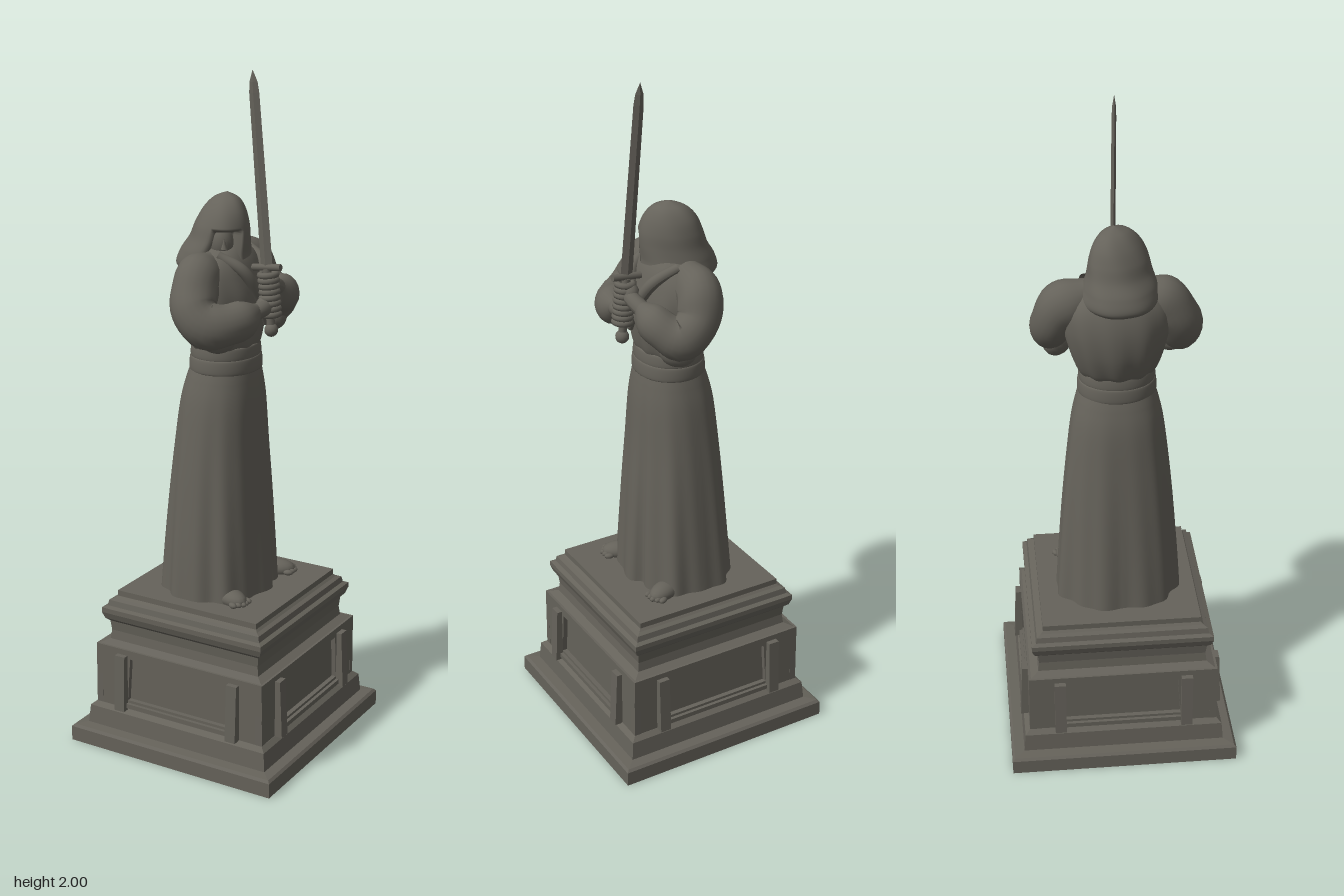
import * as THREE from 'three';
import { ParametricGeometry } from 'three/addons/geometries/ParametricGeometry.js';

const stone = new THREE.MeshStandardMaterial({ color: 0x65625a, side: THREE.DoubleSide });
stone.name = 'weathered stone';

function add(parent, name, geometry, x = 0, y = 0, z = 0) {
  const mesh = new THREE.Mesh(geometry, stone);
  mesh.name = name;
  mesh.position.set(x, y, z);
  parent.add(mesh);
  return mesh;
}

function faceted(geometry) {
  const g = geometry.index ? geometry.toNonIndexed() : geometry;
  g.computeVertexNormals();
  return g;
}

// smooth interpolation through a list of number rows, t in 0..1
function sample(rows, t) {
  const f = t * (rows.length - 1), i = Math.min(Math.floor(f), rows.length - 2), k = f - i;
  const at = (j) => rows[Math.max(0, Math.min(rows.length - 1, j))];
  return rows[0].map((_, c) => {
    const p = at(i - 1)[c], q = at(i)[c], r = at(i + 1)[c], s = at(i + 2)[c];
    return q + 0.5 * k * (r - p + k * (2 * p - 5 * q + 4 * r - s + k * (3 * (q - r) + s - p)));
  });
}

// rows: [y, half width, half depth, centre x, centre z]; ripple scales the radius
function loft(rows, ripple = () => 1, power = 0.9, slices = 64, stacks = 32) {
  return new ParametricGeometry((u, v, target) => {
    const [y, a, b, cx, cz] = sample(rows, v);
    const th = (u - 0.5) * Math.PI * 2, s = Math.sin(th), c = Math.cos(th);
    const k = ripple(th, y);
    target.set(
      cx + k * a * Math.sign(s) * Math.abs(s) ** power, y,
      cz + k * b * Math.sign(c) * Math.abs(c) ** power);
  }, slices, stacks);
}

// tube through points with a radius per point, stretched vertically
function limb(points, radii, stretch = 1, wrinkle = 0) {
  const curve = new THREE.CatmullRomCurve3(points.map((p) => new THREE.Vector3(...p)));
  const n = 36, m = 20, g = new THREE.TubeGeometry(curve, n, 1, m);
  const pos = g.attributes.position, off = new THREE.Vector3();
  for (let i = 0; i < pos.count; i++) {
    const u = Math.floor(i / (m + 1)) / n, centre = curve.getPointAt(u);
    const r = sample(radii.map((v) => [v]), u)[0];
    const around = (i % (m + 1)) / m * Math.PI * 2;
    off.fromBufferAttribute(pos, i).sub(centre)
      .multiplyScalar(r * (1 + wrinkle * Math.sin(u * 24 + 2 * Math.sin(around))));
    pos.setXYZ(i, centre.x + off.x, centre.y + off.y * stretch, centre.z + off.z);
  }
  g.computeVertexNormals();
  return g;
}

function pedestal() {
  const group = new THREE.Group();
  group.name = 'pedestal';
  // stepped moulding profile: [corner radius, height]
  const profile = [[0, 0], [0.485, 0], [0.485, 0.045], [0.475, 0.052], [0.432, 0.055], [0.425, 0.11],
    [0.405, 0.122], [0.383, 0.122], [0.383, 0.31], [0.40, 0.31], [0.36, 0.322], [0.355, 0.35],
    [0.36, 0.38], [0.375, 0.39], [0.385, 0.41], [0.385, 0.425], [0.367, 0.43], [0.362, 0.447],
    [0.345, 0.452], [0.335, 0.458], [0.335, 0.475], [0, 0.475]].map((p) => new THREE.Vector2(...p));
  add(group, 'steppedPlinth', faceted(new THREE.LatheGeometry(profile, 4)));

  const poly = (pts) => pts.map((p) => new THREE.Vector2(...p));
  const frame = new THREE.Shape(poly([[-0.286, 0.115], [0.286, 0.115], [0.284, 0.312], [-0.284, 0.312]]));
  frame.holes.push(new THREE.Path(poly([[-0.175, 0.15], [-0.165, 0.285], [0.165, 0.285], [0.175, 0.15]])));
  const frameGeo = new THREE.ExtrudeGeometry(frame, { depth: 0.02, bevelEnabled: false });
  const wedge = new THREE.Shape(poly([[0, 0.12], [0.034, 0.12], [0.026, 0.295], [0, 0.295]]));
  const wedgeGeo = new THREE.ExtrudeGeometry(wedge, { depth: 0.034, bevelEnabled: false });
  wedgeGeo.rotateY(-Math.PI / 2).translate(0.017, 0, 0);

  // recessed panel with sloping side blocks on each face
  for (let i = 0; i < 4; i++) {
    const side = new THREE.Group();
    side.name = 'pedestalSide';
    side.rotation.y = Math.PI / 4 + i * Math.PI / 2;
    add(side, 'panelFrame', frameGeo, 0, 0, 0.265);
    add(side, 'panelSill', new THREE.BoxGeometry(0.37, 0.014, 0.03), 0, 0.135, 0.28);
    for (const s of [-1, 1]) add(side, 'panelBlock', wedgeGeo, s * 0.192, 0, 0.275);
    group.add(side);
  }
  return group;
}

function swordAndHands() {
  const group = new THREE.Group();
  group.name = 'swordAndHands';
  group.position.set(-0.007, 1.45, 0.134);
  group.rotation.x = -0.089;
  // four-sided blade, thin across the body, with a tapered point
  const blade = new THREE.LatheGeometry([[0.019, 0], [0.016, 0.49], [0.013, 0.52], [0, 0.553]]
    .map((p) => new THREE.Vector2(...p)), 4);
  add(group, 'blade', faceted(blade.scale(0.4, 1, 1)));
  const guard = add(group, 'crossGuard', new THREE.CylinderGeometry(0.01, 0.01, 0.09, 10), 0, 0.005, 0);
  guard.rotation.x = Math.PI / 2;
  add(group, 'grip', new THREE.CylinderGeometry(0.012, 0.012, 0.17, 12), 0, -0.085, 0);
  add(group, 'pommel', new THREE.SphereGeometry(0.02, 14, 10), 0, -0.175, 0);
  // two stacked fists with curled fingers
  for (const [s, y] of [[1, -0.04], [-1, -0.105]]) {
    add(group, 'palm', new THREE.SphereGeometry(0.03, 16, 12).scale(1.1, 1.05, 0.9), s * 0.012, y, -0.006);
    for (let i = 0; i < 4; i++) {
      const finger = add(group, 'finger', new THREE.TorusGeometry(0.023, 0.0095, 8, 18), 0, y + (i - 1.5) * 0.016, 0.003);
      finger.rotation.x = Math.PI / 2;
    }
  }
  return group;
}

function head() {
  const group = new THREE.Group();
  group.name = 'hoodedHead';
  // hood with the front pressed inward to make the face opening
  const rows = [[1.425, 0.075, 0.075, -0.03, -0.02], [1.45, 0.108, 0.108, -0.032, -0.018],
    [1.49, 0.1, 0.108, -0.03, -0.012], [1.53, 0.086, 0.1, -0.02, -0.003], [1.57, 0.077, 0.092, -0.014, 0],
    [1.61, 0.06, 0.075, -0.008, 0], [1.64, 0.036, 0.046, -0.003, 0], [1.657, 0.001, 0.001, 0, 0]];
  const open = (th, y) => {
    const top = THREE.MathUtils.smoothstep(1.565 - y, 0, 0.018);
    const side = THREE.MathUtils.smoothstep(0.62 - Math.abs(th + 0.08), 0, 0.14);
    return (1 - 0.42 * top * side) * (1 + 0.012 * Math.sin(th * 6 + y * 30));
  };
  add(group, 'hood', loft(rows, open, 1, 72, 48));
  add(group, 'face', new THREE.SphereGeometry(0.045, 20, 16).scale(0.85, 1.25, 1), -0.025, 1.52, 0.028);
  add(group, 'nose', new THREE.ConeGeometry(0.01, 0.03, 8), -0.027, 1.522, 0.073);
  add(group, 'chin', new THREE.SphereGeometry(0.02, 12, 10), -0.027, 1.482, 0.05);
  return group;
}

function figure() {
  const group = new THREE.Group();
  group.name = 'robedFigure';
  group.rotation.y = Math.PI / 4;

  // long skirt: folds deepen toward the hem
  const skirt = [[0.475, 0.187, 0.16, -0.005, -0.018], [0.62, 0.178, 0.15, -0.006, -0.016],
    [0.78, 0.165, 0.138, -0.006, -0.014], [0.92, 0.151, 0.126, -0.006, -0.012],
    [1.05, 0.135, 0.115, -0.006, -0.008], [1.12, 0.12, 0.103, -0.006, -0.004], [1.17, 0.105, 0.09, -0.006, 0]];
  const folds = (th, y) => {
    const d = THREE.MathUtils.clamp((1.15 - y) / 0.67, 0, 1);
    return 1 + d * (0.03 * Math.sin(th * 7 + 0.8) + 0.02 * Math.sin(th * 13 + y * 2))
      - 0.12 * d * Math.exp(-(((th - 0.25) / 0.1) ** 2));
  };
  add(group, 'robeSkirt', loft(skirt, folds, 0.88, 112, 30));

  // sash in two wraps
  for (const [y, h, r] of [[1.145, 0.045, 0.114], [1.185, 0.04, 0.11]])
    add(group, 'sash', loft([[y, r - 0.014, r - 0.026, -0.006, 0], [y + 0.004, r, r - 0.014, -0.006, 0],
      [y + h - 0.004, r - 0.002, r - 0.016, -0.006, 0], [y + h, r - 0.014, r - 0.026, -0.006, 0]], undefined, 0.95));

  // bloused upper robe
  const torso = [[1.2, 0.095, 0.08, -0.005, 0], [1.235, 0.118, 0.1, -0.005, -0.004], [1.3, 0.14, 0.115, -0.005, -0.01],
    [1.37, 0.155, 0.118, -0.005, -0.012], [1.43, 0.15, 0.105, -0.005, -0.014], [1.475, 0.115, 0.085, -0.005, -0.01],
    [1.51, 0.06, 0.055, -0.005, -0.005], [1.53, 0.01, 0.01, -0.005, 0]];
  add(group, 'upperRobe', loft(torso, (th, y) => 1 + 0.025 * Math.sin(th * 11 + y * 9) * (1.5 - y) / 0.3, 0.95, 88, 28));

  // crossed lapels
  for (const s of [-1, 1])
    add(group, 'lapel', limb([[s * 0.085, 1.49, 0.02], [s * 0.06, 1.45, 0.085], [s * 0.01, 1.37, 0.108],
      [-s * 0.04, 1.28, 0.105]], [0.014, 0.017, 0.015, 0.01]));

  // wide sleeves, elbows bent, both cuffs at the sword grip
  add(group, 'rightSleeve', limb([[-0.07, 1.455, -0.015], [-0.145, 1.42, -0.012], [-0.185, 1.35, 0.005],
    [-0.19, 1.315, 0.045], [-0.135, 1.32, 0.11], [-0.06, 1.345, 0.135], [-0.05, 1.347, 0.136]],
    [0.045, 0.066, 0.066, 0.063, 0.055, 0.048, 0.012], 1.12, 0.03));
  add(group, 'leftSleeve', limb([[0.07, 1.455, -0.015], [0.145, 1.425, -0.01], [0.178, 1.36, 0.015],
    [0.172, 1.32, 0.065], [0.125, 1.35, 0.11], [0.055, 1.39, 0.13], [0.045, 1.393, 0.131]],
    [0.045, 0.064, 0.062, 0.058, 0.052, 0.045, 0.012], 1.15, 0.03));
  // drooping cloth below each forearm
  for (const s of [-1, 1]) {
    const drape = add(group, 'sleeveDrape', new THREE.SphereGeometry(0.05, 18, 14).scale(0.75, 1, 1.1), s * 0.158, 1.28, 0.065);
    drape.rotation.y = -s * 0.7;
  }
  add(group, 'rightWrist', limb([[-0.08, 1.335, 0.13], [-0.05, 1.342, 0.14], [-0.012, 1.345, 0.142]], [0.024, 0.023, 0.022]));
  add(group, 'leftWrist', limb([[0.075, 1.38, 0.125], [0.04, 1.395, 0.133], [0.005, 1.407, 0.136]], [0.024, 0.023, 0.022]));

  // feet with toes under the hem
  for (const s of [-1, 1]) {
    const foot = new THREE.Group();
    foot.name = s < 0 ? 'rightFoot' : 'leftFoot';
    foot.position.set(s * 0.135, 0.475, 0.095);
    foot.rotation.y = s * 0.35;
    add(foot, 'instep', new THREE.SphereGeometry(0.034, 16, 12).scale(1, 0.8, 1.7), 0, 0.012, 0);
    for (let i = 0; i < 5; i++)
      add(foot, 'toe', new THREE.SphereGeometry(0.0095, 10, 8).scale(1, 0.9, 1.6), (i - 2) * 0.014, 0.008, 0.05 - Math.abs(i - 2) * 0.005);
    group.add(foot);
  }
  group.add(swordAndHands());
  return group;
}

export function createModel() {
  const model = new THREE.Group();
  model.name = 'hoodedSwordsmanStatue';
  model.add(pedestal(), figure(), head());
  return model;
}
